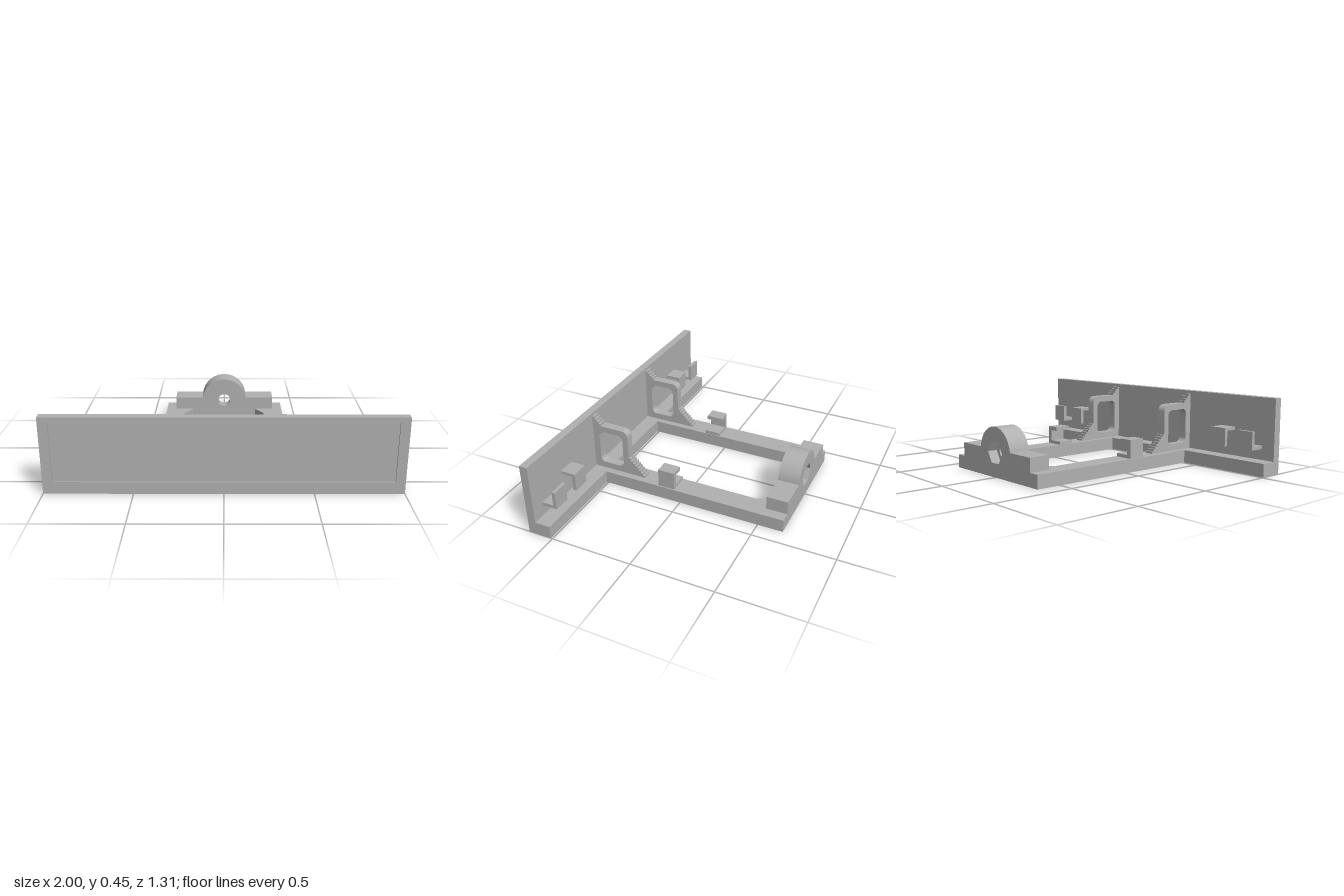
import * as THREE from 'three';
import { toCreasedNormals } from 'three/addons/utils/BufferGeometryUtils.js';

const grey = new THREE.MeshStandardMaterial({ color: 0xb0b0b0 });
grey.name = 'plain grey';

export function createModel() {
  const model = new THREE.Group();
  model.name = 'mountingBracket';

  const add = (name, geometry) => {
    const mesh = new THREE.Mesh(geometry, grey);
    mesh.name = name;
    model.add(mesh);
    return mesh;
  };
  // Box from its minimum and maximum corners
  const box = (name, x0, x1, y0, y1, z0, z1) =>
    add(name, new THREE.BoxGeometry(x1 - x0, y1 - y0, z1 - z0))
      .position.set((x0 + x1) / 2, (y0 + y1) / 2, (z0 + z1) / 2);
  // Same, but placed on the given side (1 or -1) of x = 0
  const sideBox = (s, name, x0, x1, ...rest) =>
    box(name, Math.min(s * x0, s * x1), Math.max(s * x0, s * x1), ...rest);
  const outline = (pts) => new THREE.Shape(pts.map(([x, y]) => new THREE.Vector2(x, y)));
  const extrude = (shape, depth) => toCreasedNormals(
    new THREE.ExtrudeGeometry(shape, { depth, bevelEnabled: false, curveSegments: 24 }), 0.5);

  // Front panel: solid back plus a thin raised border around a shallow recess
  box('frontPanel', -1, 1, 0, 0.45, 0.605, 0.645);
  const border = outline([[-1, 0], [1, 0], [1, 0.45], [-1, 0.45]]);
  border.holes.push(outline([[-0.945, 0.07], [-0.945, 0.425], [0.945, 0.425], [0.945, 0.07]]));
  add('panelBorder', extrude(border, 0.01)).position.z = 0.645;

  // Flat base: wide front foot, two arms and a rear crossbar with chamfered corners
  const base = outline([[-1, -0.605], [1, -0.605], [1, -0.51], [0.4, -0.51],
    [0.4, 0.655], [-0.4, 0.655], [-0.4, -0.51], [-1, -0.51]]);
  base.holes.push(outline([[-0.27, -0.51], [-0.27, 0.44], [-0.215, 0.525],
    [0.215, 0.525], [0.27, 0.44], [0.27, -0.51]]));
  add('baseFrame', extrude(base, 0.08)).rotation.x = -Math.PI / 2;

  // Rear boss: block with a rounded top, bolt hole in front and hexagonal nut pocket behind
  const cy = 0.145, r = 0.15, blockTop = 0.163;
  const a = Math.asin((blockTop - cy) / r);
  const bossHalf = (name, holeRadius, sides, z, depth) => {
    const s = new THREE.Shape();
    s.moveTo(-0.335, 0.08);
    s.lineTo(0.335, 0.08);
    s.lineTo(0.335, blockTop);
    s.lineTo(r * Math.cos(a), blockTop);
    s.absarc(0, cy, r, a, Math.PI - a, false);
    s.lineTo(-0.335, blockTop);
    s.closePath();
    const hole = [];
    for (let i = 0; i < sides; i++) {
      const t = -i / sides * Math.PI * 2;
      hole.push([holeRadius * Math.cos(t), cy + holeRadius * Math.sin(t)]);
    }
    s.holes.push(outline(hole));
    add(name, extrude(s, depth)).position.z = z;
  };
  bossHalf('bossFront', 0.042, 32, -0.595, 0.07);
  bossHalf('bossNutPocket', 0.072, 6, -0.655, 0.06);

  // Gusset profile (z, y): stair-stepped braces around a rounded window
  const gusset = new THREE.Shape();
  gusset.moveTo(0.605, 0.08);
  gusset.lineTo(0.605, 0.43);
  const stairs = (z0, y0, z1, y1, n) => {
    for (let i = 0; i < n; i++) {
      const y = y0 + (y1 - y0) * i / n;
      const z = z0 + (z1 - z0) * (i + 1) / n;
      gusset.lineTo(z, y);
      gusset.lineTo(z, y0 + (y1 - y0) * (i + 1) / n);
    }
  };
  stairs(0.605, 0.43, 0.55, 0.375, 4);
  gusset.lineTo(0.405, 0.375);
  gusset.absarc(0.405, 0.335, 0.04, Math.PI / 2, Math.PI, false);
  gusset.lineTo(0.365, 0.19);
  stairs(0.365, 0.19, 0.258, 0.08, 8);
  gusset.closePath();
  const slot = new THREE.Path();
  const corner = 0.03, z0 = 0.402, z1 = 0.563, y0 = 0.121, y1 = 0.337;
  slot.absarc(z1 - corner, y1 - corner, corner, 0, Math.PI / 2, false);
  slot.absarc(z0 + corner, y1 - corner, corner, Math.PI / 2, Math.PI, false);
  slot.absarc(z0 + corner, y0 + corner, corner, Math.PI, Math.PI * 1.5, false);
  slot.absarc(z1 - corner, y0 + corner, corner, Math.PI * 1.5, Math.PI * 2, false);
  slot.closePath();
  gusset.holes.push(slot);
  const gussetGeometry = extrude(gusset, 0.052);

  for (const s of [1, -1]) {
    const brace = add('gusset', gussetGeometry);
    brace.rotation.y = -Math.PI / 2;
    brace.position.x = s * 0.333 + 0.026;

    // Arm clip: hook opening inwards
    sideBox(s, 'armClipFoot', 0.275, 0.365, 0.08, 0.1, 0.04, 0.145);
    sideBox(s, 'armClipWall', 0.365, 0.392, 0.08, 0.193, 0.04, 0.145);
    sideBox(s, 'armClipTop', 0.31, 0.365, 0.168, 0.193, 0.04, 0.145);

    // Panel clips: the inner one hooks down, the outer one hooks up
    sideBox(s, 'innerClipTop', 0.612, 0.718, 0.238, 0.256, 0.51, 0.605);
    sideBox(s, 'innerClipLip', 0.612, 0.718, 0.145, 0.238, 0.51, 0.532);
    sideBox(s, 'outerClipShelf', 0.81, 0.915, 0.145, 0.165, 0.51, 0.605);
    sideBox(s, 'outerClipLip', 0.81, 0.915, 0.165, 0.256, 0.51, 0.532);
  }
  return model;
}
